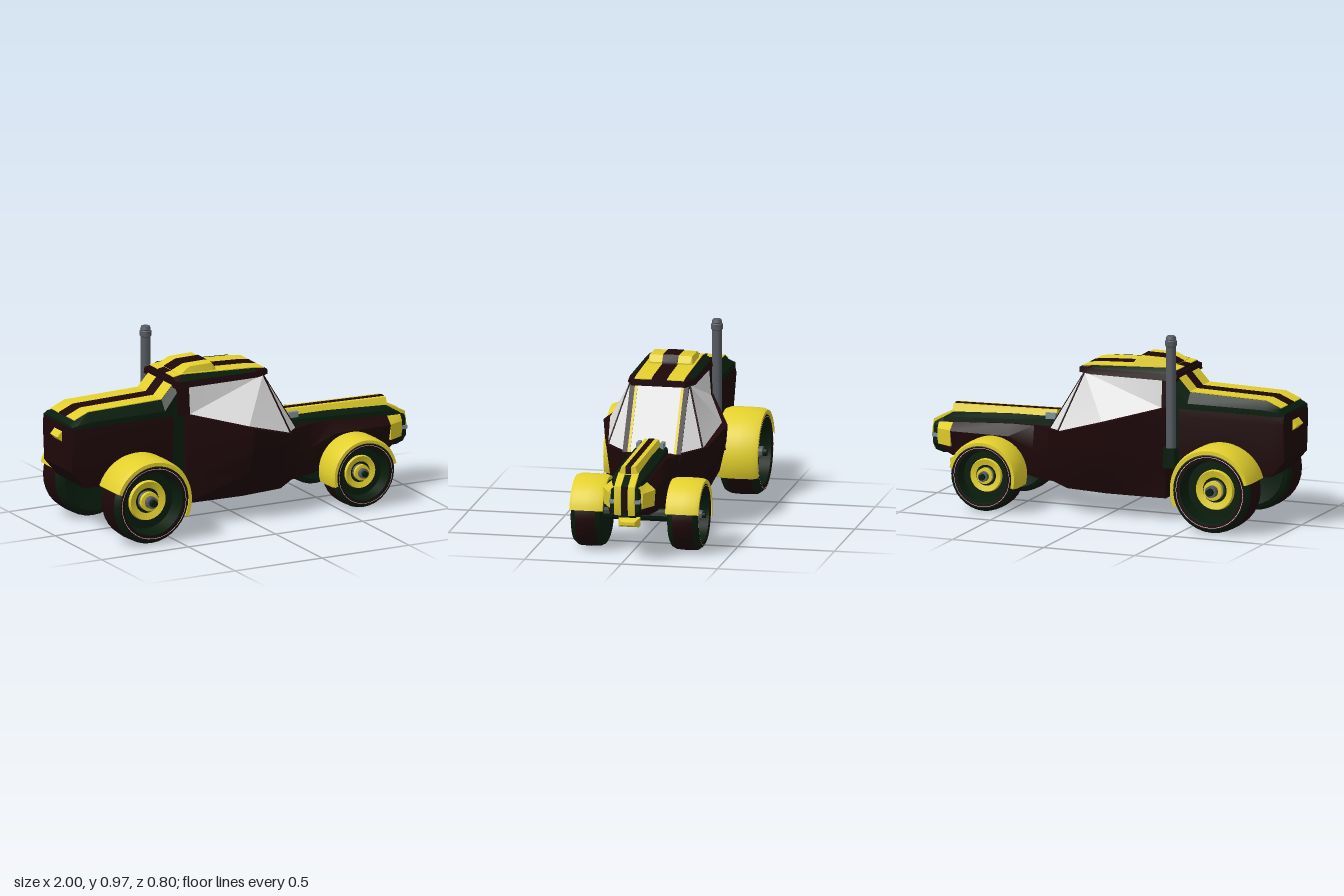
import * as THREE from 'three';
import { toCreasedNormals } from 'three/addons/utils/BufferGeometryUtils.js';

function material(name, color, side = THREE.FrontSide) {
  const m = new THREE.MeshStandardMaterial({ color, side });
  m.name = name;
  return m;
}

export function createModel() {
  const maroon = material('maroon paint', 0x1e0709, THREE.DoubleSide);
  const green = material('dark green paint', 0x081c0c, THREE.DoubleSide);
  const yellow = material('yellow paint', 0xe2cf2c, THREE.DoubleSide);
  const glass = material('pale glass', 0xe0e0e0, THREE.DoubleSide);
  const grey = material('grey metal', 0x565b62);
  const steel = material('light steel', 0x7f909c);

  const model = new THREE.Group();
  model.name = 'pickup';
  const body = new THREE.Group();
  body.name = 'body';
  body.position.z = -0.015;
  model.add(body);

  function add(name, geo, mat, parent = body) {
    const mesh = new THREE.Mesh(toCreasedNormals(geo, 0.5), mat);
    mesh.name = name;
    parent.add(mesh);
    return mesh;
  }
  function box(name, mat, x0, x1, y0, y1, z0, z1) {
    const g = new THREE.BoxGeometry(x1 - x0, y1 - y0, z1 - z0);
    g.translate((x0 + x1) / 2, (y0 + y1) / 2, (z0 + z1) / 2);
    return add(name, g, mat);
  }
  // Side outline in x and y, extruded from z0 to z1
  function slab(name, mat, pts, z0, z1) {
    const shape = new THREE.Shape(pts.map(p => new THREE.Vector2(...p)));
    const g = new THREE.ExtrudeGeometry(shape, { depth: z1 - z0, bevelEnabled: false });
    g.translate(0, 0, z0);
    return add(name, g, mat);
  }
  // Thin painted band laid along a path in x and y
  function stripe(name, mat, path, z0, z1, t = 0.004) {
    return slab(name, mat, [...path, ...path.map(([x, y]) => [x, y + t]).reverse()], z0, z1);
  }
  // Mirrored loft: each section is x plus half-profile points [z, y] from top to bottom
  function loft(name, mat, sections) {
    const rings = sections.map(([x, pts]) => [
      ...pts.map(([z, y]) => [x, y, z]),
      ...pts.map(([z, y]) => [x, y, -z]).reverse()]);
    const n = rings[0].length, pos = [], index = [];
    rings.forEach(r => r.forEach(p => pos.push(...p)));
    for (let s = 0; s < rings.length - 1; s++) for (let i = 0; i < n; i++) {
      const a = s * n + i, b = s * n + (i + 1) % n;
      index.push(a, b, a + n, b, b + n, a + n);
    }
    const e = (rings.length - 1) * n;
    for (let i = 1; i < n - 1; i++) index.push(0, i + 1, i, e, e + i, e + i + 1);
    const g = new THREE.BufferGeometry();
    g.setAttribute('position', new THREE.Float32BufferAttribute(pos, 3));
    g.setIndex(index);
    return add(name, g, mat);
  }
  // Flat panel as a fan of corners, made on both sides of the body
  function panels(name, mat, corners) {
    for (const s of [1, -1]) {
      const pts = corners.map(([x, y, z]) => [x, y, z * s]);
      if (s < 0) pts.reverse().unshift(pts.pop());
      const g = new THREE.BufferGeometry();
      g.setAttribute('position', new THREE.Float32BufferAttribute(pts.flat(), 3));
      g.setIndex(Array.from({ length: pts.length - 2 }, (_, i) => [0, i + 1, i + 2]).flat());
      add(name, g, mat);
    }
  }
  function beam(name, mat, a, b, r) {
    for (const s of [1, -1]) {
      const p = new THREE.Vector3(a[0], a[1], a[2] * s), q = new THREE.Vector3(b[0], b[1], b[2] * s);
      const mesh = add(name, new THREE.CylinderGeometry(r, r, p.distanceTo(q), 6), mat);
      mesh.position.copy(p).add(q).multiplyScalar(0.5);
      mesh.quaternion.setFromUnitVectors(new THREE.Vector3(0, 1, 0), q.sub(p).normalize());
    }
  }

  // Cab tub
  loft('cabTub', maroon, [
    [-0.335, [[0.18, 0.59], [0.19, 0.42], [0.185, 0.27], [0.175, 0.12]]],
    [-0.02, [[0.322, 0.505], [0.315, 0.42], [0.28, 0.265], [0.20, 0.125]]],
    [0.20, [[0.265, 0.439], [0.26, 0.41], [0.24, 0.265], [0.195, 0.133]]],
    [0.325, [[0.15, 0.42], [0.15, 0.40], [0.13, 0.265], [0.09, 0.14]]]]);
  // Front chassis below the hood
  loft('noseBody', maroon, [
    [0.31, [[0.15, 0.42], [0.14, 0.265], [0.10, 0.14]]],
    [0.42, [[0.10, 0.42], [0.12, 0.30], [0.09, 0.15]]],
    [0.55, [[0.10, 0.42], [0.135, 0.36], [0.10, 0.19]]],
    [0.87, [[0.09, 0.40], [0.132, 0.36], [0.10, 0.23]]],
    [0.95, [[0.06, 0.38], [0.075, 0.34], [0.065, 0.26]]]]);
  // Rear bed, with the green bulkhead joining it to the cab
  loft('rearBed', maroon, [
    [-0.975, [[0.155, 0.60], [0.165, 0.55], [0.15, 0.36]]],
    [-0.90, [[0.16, 0.605], [0.168, 0.55], [0.15, 0.27]]],
    [-0.40, [[0.16, 0.605], [0.168, 0.55], [0.15, 0.27]]]]);
  box('bulkhead', green, -0.41, -0.33, 0.28, 0.61, -0.155, 0.155);
  loft('rearLid', green, [
    [-0.975, [[0.11, 0.605], [0.155, 0.60], [0.155, 0.59]]],
    [-0.95, [[0.12, 0.628], [0.165, 0.61], [0.165, 0.59]]],
    [-0.87, [[0.13, 0.662], [0.168, 0.62], [0.168, 0.59]]],
    [-0.45, [[0.13, 0.672], [0.168, 0.62], [0.168, 0.59]]],
    [-0.37, [[0.13, 0.76], [0.165, 0.72], [0.168, 0.59]]]]);

  // Cab pillars, glass and roof
  const rearTop = [-0.31, 0.735, 0.163], rearLow = [-0.31, 0.588, 0.175];
  const frontTop = [0.12, 0.735, 0.155], ridge = [-0.03, 0.515, 0.29];
  const corner = [0.23, 0.435, 0.245], cowl = [0.315, 0.42, 0.145];
  panels('rearPillar', maroon, [[-0.38, 0.74, 0.165], [-0.38, 0.58, 0.17], rearLow, rearTop]);
  panels('sideWindow', glass, [frontTop, rearTop, rearLow, ridge, corner]);
  panels('quarterWindow', glass, [frontTop, corner, cowl]);
  beam('quarterPillar', maroon, frontTop, corner, 0.005);
  beam('cowlTrim', maroon, corner, cowl, 0.006);
  box('cabBackWall', maroon, -0.38, -0.365, 0.58, 0.74, -0.165, 0.165);
  const screen = [[0.12, 0.735], [0.315, 0.42], [0.31, 0.42], [0.115, 0.735]];
  const screenOut = screen.map(([x, y]) => [x + 0.005, y]);
  slab('windscreen', glass, screen, -0.118, 0.118);
  for (const s of [1, -1]) {
    const span = (a, b) => [Math.min(a * s, b * s), Math.max(a * s, b * s)];
    slab('screenStripe', yellow, screenOut, ...span(0.113, 0.127));
    slab('screenPillar', maroon, screenOut, ...span(0.127, 0.152));
  }
  loft('roofRim', maroon, [
    [-0.39, [[0.165, 0.765], [0.175, 0.73]]],
    [0.08, [[0.165, 0.76], [0.175, 0.73]]],
    [0.155, [[0.135, 0.755], [0.14, 0.73]]]]);
  loft('roof', maroon, [
    [-0.38, [[0.13, 0.78], [0.165, 0.76]]],
    [-0.33, [[0.14, 0.788], [0.168, 0.76]]],
    [0.08, [[0.14, 0.768], [0.165, 0.755]]],
    [0.14, [[0.13, 0.76], [0.135, 0.75]]]]);
  // Green band along each roof edge
  panels('roofEdge', green, [[-0.33, 0.791, 0.141], [-0.36, 0.764, 0.169], [0.08, 0.758, 0.167], [0.08, 0.771, 0.141]]);

  // Racing stripes over lid and roof, with the raised roof pod
  const lidPath = [[-0.95, 0.628], [-0.87, 0.662], [-0.45, 0.672], [-0.37, 0.76]];
  const roofPath = [[-0.38, 0.78], [-0.33, 0.788], [0.08, 0.768], [0.14, 0.76]];
  for (const [mat, z0, z1] of [[yellow, 0.04, 0.128], [yellow, -0.128, -0.04], [maroon, -0.04, 0.04]]) {
    stripe('lidStripe', mat, lidPath, z0, z1);
    stripe('roofStripe', mat, roofPath, z0, z1);
  }
  loft('roofPod', yellow, [
    [-0.345, [[0.105, 0.792], [0.12, 0.78]]],
    [-0.28, [[0.11, 0.82], [0.12, 0.78]]],
    [-0.15, [[0.11, 0.822], [0.12, 0.77]]],
    [-0.125, [[0.105, 0.79], [0.118, 0.77]]]]);
  stripe('podStripe', maroon, [[-0.345, 0.792], [-0.28, 0.82], [-0.15, 0.822], [-0.124, 0.79], [-0.12, 0.775]], -0.04, 0.04);

  // Hood
  loft('hood', green, [
    [0.31, [[0.05, 0.465], [0.08, 0.45], [0.085, 0.41]]],
    [0.55, [[0.055, 0.462], [0.088, 0.44], [0.09, 0.40]]],
    [0.88, [[0.055, 0.445], [0.085, 0.425], [0.09, 0.385]]],
    [0.93, [[0.045, 0.42], [0.07, 0.41], [0.08, 0.37]]]]);
  loft('hoodStripes', yellow, [
    [0.32, [[0.036, 0.495], [0.054, 0.455]]],
    [0.89, [[0.036, 0.482], [0.054, 0.435]]]]);
  stripe('hoodCentreStripe', maroon, [[0.32, 0.494], [0.89, 0.481], [0.893, 0.445]], -0.014, 0.014);
  // Cheek panels flanking the grille
  loft('cheekPanels', yellow, [
    [0.868, [[0.095, 0.40], [0.136, 0.365], [0.13, 0.28]]],
    [0.955, [[0.07, 0.39], [0.09, 0.36], [0.085, 0.28]]]]);
  for (const s of [1, -1])
    box('hoodHinge', steel, 0.315, 0.37, 0.45, 0.485, s > 0 ? 0.052 : -0.07, s > 0 ? 0.07 : -0.052);

  // Grille, headlamp bar and tow plate
  loft('grille', green, [
    [0.87, [[0.045, 0.445], [0.08, 0.39], [0.085, 0.28], [0.05, 0.23]]],
    [0.94, [[0.045, 0.42], [0.08, 0.38], [0.085, 0.28], [0.05, 0.23]]],
    [0.985, [[0.035, 0.40], [0.07, 0.37], [0.075, 0.28], [0.04, 0.24]]]]);
  for (const s of [1, -1])
    slab('grilleStripe', yellow, [[0.88, 0.28], [0.985, 0.25], [0.99, 0.27], [1, 0.33], [0.99, 0.40], [0.92, 0.435], [0.88, 0.45]],
      s > 0 ? 0.018 : -0.053, s > 0 ? 0.053 : -0.018);
  box('grilleCentre', maroon, 0.97, 0.988, 0.26, 0.40, -0.012, 0.012);
  for (const s of [1, -1])
    box('headlampBar', steel, 0.955, 0.99, 0.312, 0.332, s > 0 ? 0.04 : -0.08, s > 0 ? 0.08 : -0.04);
  loft('towPlate', yellow, [
    [0.845, [[0.053, 0.213], [0.053, 0.167]]],
    [0.88, [[0.053, 0.213], [0.053, 0.167]]],
    [0.91, [[0.035, 0.197], [0.035, 0.181]]]]);
  box('towBracket', maroon, 0.83, 0.87, 0.20, 0.26, -0.03, 0.03);
  // Rear lamp
  slab('rearLamp', yellow, [[-0.97, 0.56], [-1, 0.525], [-0.97, 0.495]], -0.04, 0.04);

  // Exhaust stack
  const stack = new THREE.Group();
  stack.name = 'exhaustStack';
  stack.position.set(-0.37, 0, -0.207);
  model.add(stack);
  const pipe = [[0.025, 0.38], [0.025, 0.915], [0.03, 0.92], [0.03, 0.945], [0.025, 0.95], [0.027, 0.955], [0.022, 0.97], [0, 0.97]];
  add('pipe', new THREE.LatheGeometry(pipe.map(p => new THREE.Vector2(...p)), 16), grey, stack);
  const base = new THREE.CylinderGeometry(0.04, 0.046, 0.1, 8);
  base.translate(0, 0.34, 0);
  add('pipeBase', base, green, stack);

  // Wheels and fenders; lathe profiles are [radius, axial]
  const lathe = (pts, k, start = 0, sweep = Math.PI * 2) => {
    const g = new THREE.LatheGeometry(pts.map(([r, a]) => new THREE.Vector2(r * k, a)), 32, start, sweep);
    g.rotateX(Math.PI / 2);
    return g;
  };
  const rad = Math.PI / 180;
  function wheel(name, x, y, z, k, h, from, to) {
    const side = Math.sign(z);
    const w = new THREE.Group();
    w.name = name;
    w.position.set(x, y, z);
    const spin = new THREE.Group();
    spin.name = 'tyreAndHub';
    if (side < 0) spin.rotation.y = Math.PI;
    w.add(spin);
    model.add(w);
    add('innerWall', lathe([[0, -h * 0.7], [0.13, -h * 0.9], [0.18, -h], [0.202, -h * 0.88], [0.215, -h * 0.6]], k), green, spin);
    add('tread', lathe([[0.215, -h * 0.6], [0.218, 0], [0.215, h * 0.7]], k), maroon, spin);
    add('outerWall', lathe([[0.215, h * 0.7], [0.202, h * 0.9], [0.19, h], [0.165, h * 0.97], [0.15, h * 0.2], [0, h * 0.2]], k), green, spin);
    add('wallBand', lathe([[0.191, h + 0.002], [0.168, h + 0.001]], k), maroon, spin);
    add('wallMark', lathe([[0.185, h + 0.004], [0.182, h + 0.004]], k), glass, spin);
    add('rimDisc', lathe([[0.105, h * 0.22], [0.10, h * 0.4], [0.065, h * 0.3]], k), yellow, spin);
    add('hub', lathe([[0.05, h * 0.2], [0.045, h * 0.35], [0.032, h * 0.4], [0.03, h * 0.9], [0, h * 0.9]], k), grey, spin);
    add('hubCollar', lathe([[0.05, h * 0.4], [0.05, h * 0.6], [0.03, h * 0.62]], k), yellow, spin);
    add('hubCap', lathe([[0.02, h * 0.8], [0.018, h * 1.1], [0, h * 1.1]], k), green, spin);
    const f = h + 0.006;
    add('fender', lathe([[0.197, -f], [0.216, -f], [0.226, -f * 0.75], [0.228, 0], [0.226, f * 0.75], [0.216, f], [0.197, f]],
      k, (from + 90) * rad, (to - from) * rad), yellow, w);
  }
  wheel('rearWheelLeft', -0.64, 0.218, 0.288, 1, 0.1, -25, 160);
  wheel('rearWheelRight', -0.66, 0.218, -0.295, 1, 0.1, -25, 165);
  wheel('frontWheelLeft', 0.62, 0.182, 0.226, 0.83, 0.08, 12, 195);
  wheel('frontWheelRight', 0.61, 0.182, -0.268, 0.83, 0.08, 12, 195);
  // Axles
  for (const [x, y, len] of [[-0.65, 0.22, 0.5], [0.615, 0.175, 0.44]]) {
    const g = new THREE.CylinderGeometry(0.035, 0.035, len, 12);
    g.rotateX(Math.PI / 2);
    g.translate(x, y, 0);
    add('axle', g, green);
  }
  return model;
}
